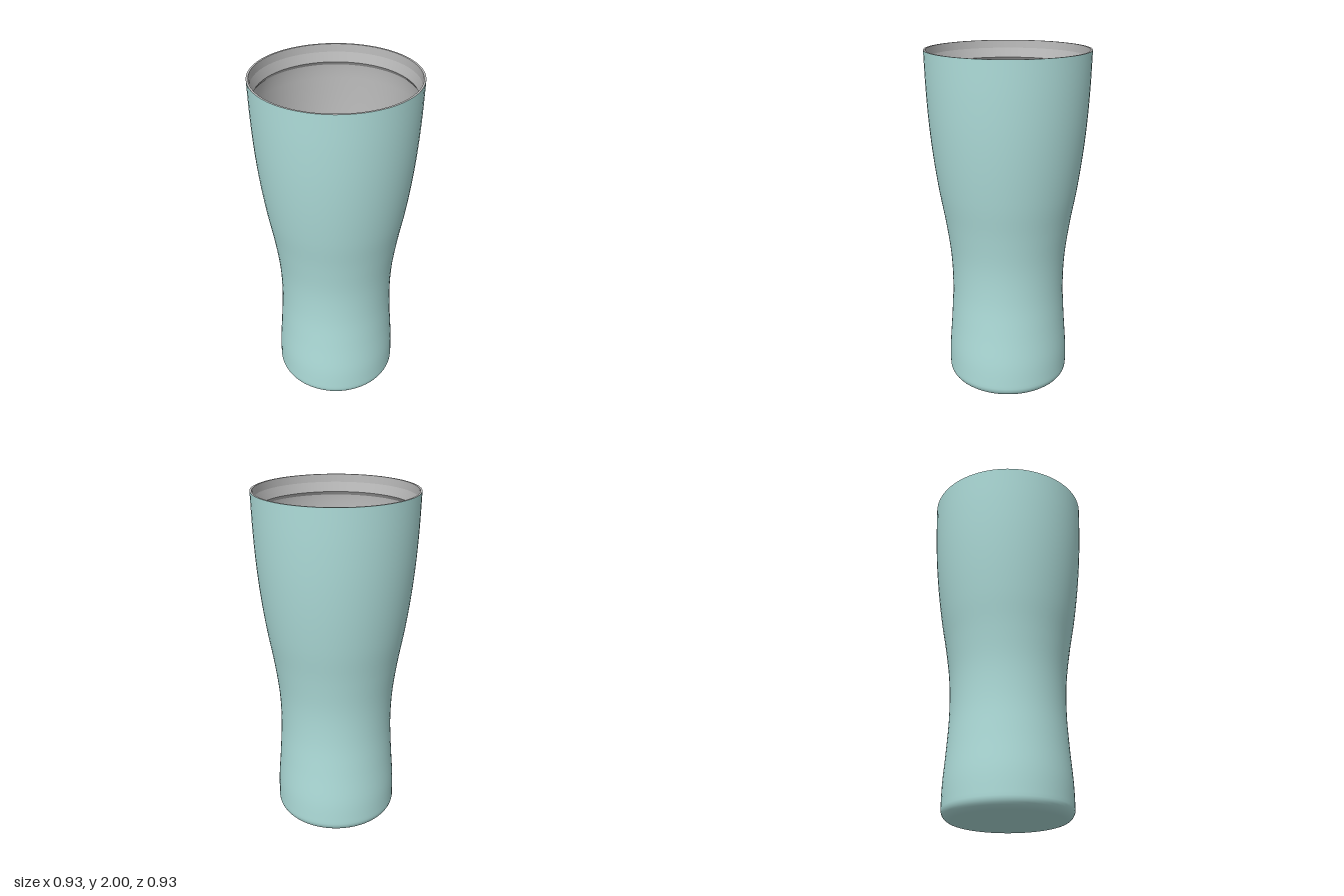
import * as THREE from 'three';

const V = (x, y) => new THREE.Vector2(x, y);

// Outer wall, base edge to brim
const OUTER = [
  [0.364, 0.06], [0.361, 0.2], [0.346, 0.4], [0.336, 0.6], [0.342, 0.8], [0.367, 1.0],
  [0.401, 1.2], [0.428, 1.4], [0.447, 1.6], [0.458, 1.8], [0.463, 2.0],
];
const WALL = 0.011;

export function createModel() {
  const group = new THREE.Group();
  const teal = new THREE.MeshStandardMaterial({ color: 0xafdedb });
  teal.name = 'pale teal coating';
  const steel = new THREE.MeshStandardMaterial({ color: 0xbababa });
  steel.name = 'grey steel';

  // Each lathe is one smooth surface; separate lathes meet at sharp edges
  const lathe = (name, points, material, parent = group) => {
    const mesh = new THREE.Mesh(new THREE.LatheGeometry(points, 64), material);
    mesh.name = name;
    parent.add(mesh);
  };

  const curve = new THREE.SplineCurve(OUTER.map(([r, y]) => V(r, y)));
  const wall = curve.getPoints(50);

  // Outer body with a rounded foot
  const foot = [];
  for (let i = 0; i < 8; i++) {
    const a = (i / 8) * Math.PI / 2;
    foot.push(V(0.304 + 0.06 * Math.sin(a), 0.06 - 0.06 * Math.cos(a)));
  }
  lathe('outerBody', [...foot, ...wall], teal);
  lathe('base', [V(0, 0), V(0.304, 0)], teal);

  // Brim and stepped inner lip
  const lip = new THREE.Group();
  lip.name = 'lip';
  group.add(lip);
  const steps = [V(0.463, 2), V(0.452, 2), V(0.449, 1.955), V(0.433, 1.9), V(0.446, 1.88)];
  ['brim', 'lipWall', 'lipBevel', 'lipUnderside'].forEach((name, i) =>
    lathe(name, [steps[i], steps[i + 1]], steel, lip));

  // Inner wall follows the outer one, down to a flat floor
  const inner = wall.filter((p) => p.y < 1.87).map((p) => V(p.x - WALL, p.y)).reverse();
  lathe('innerWall', [steps[4], ...inner, V(0.335, 0.03), V(0.304, 0.015)], steel);
  lathe('floor', [V(0.304, 0.015), V(0, 0.015)], steel);

  return group;
}
